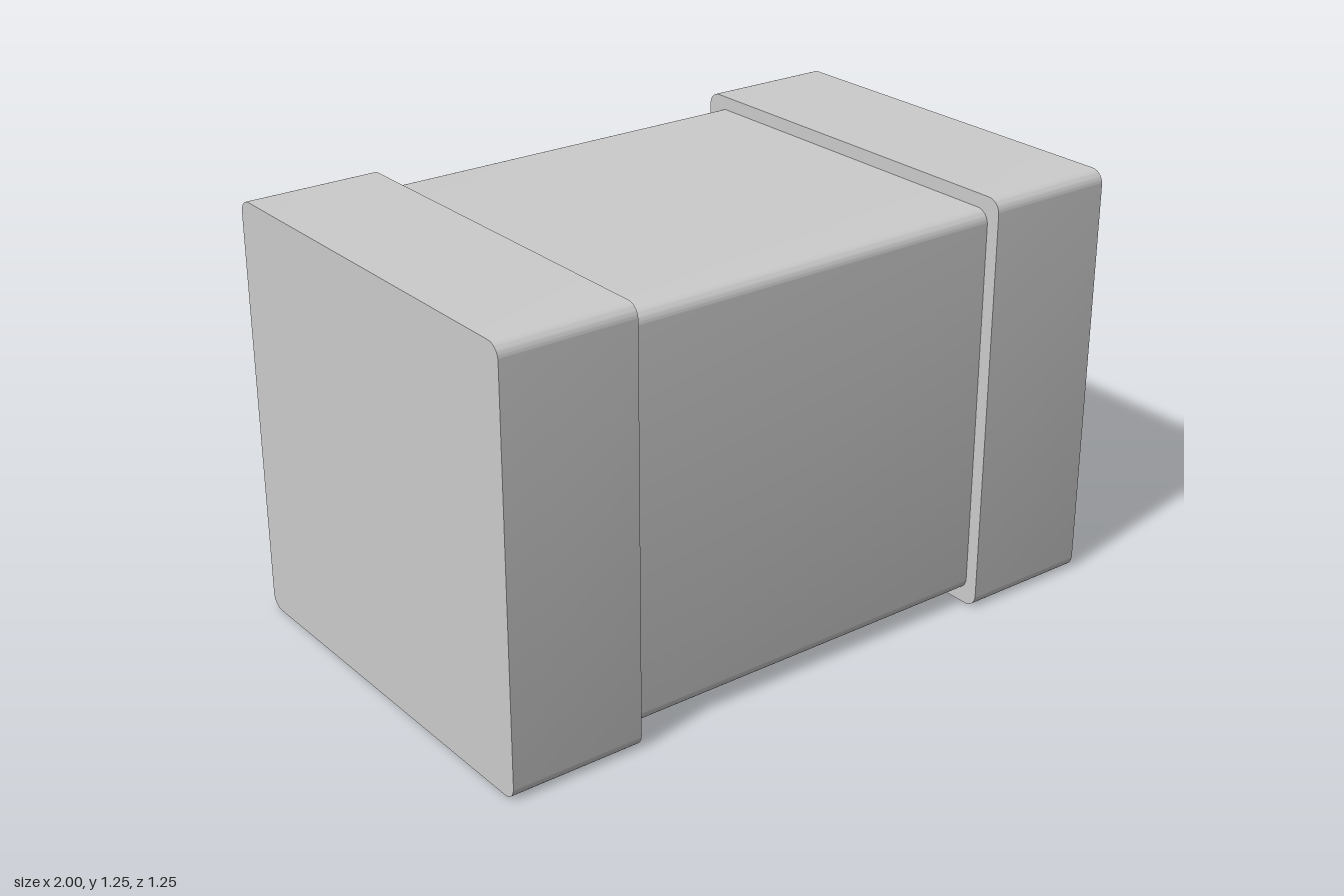
import * as THREE from 'three';
import { toCreasedNormals } from 'three/addons/utils/BufferGeometryUtils.js';

const CENTER_Y = 0.625;

// Square profile with rounded corners, centred on the origin
function roundedSquare(size, r) {
  const h = size / 2, c = h - r;
  const s = new THREE.Shape();
  s.absarc(c, c, r, 0, Math.PI / 2);
  s.absarc(-c, c, r, Math.PI / 2, Math.PI);
  s.absarc(-c, -c, r, Math.PI, Math.PI * 1.5);
  s.absarc(c, -c, r, Math.PI * 1.5, Math.PI * 2);
  s.closePath();
  return s;
}

// Bar along x with smooth long edges and sharp ends
function bar(name, size, radius, length, x, material) {
  const extruded = new THREE.ExtrudeGeometry(roundedSquare(size, radius), {
    depth: length, bevelEnabled: false, curveSegments: 8,
  });
  extruded.translate(0, 0, -length / 2).rotateY(Math.PI / 2);
  const mesh = new THREE.Mesh(toCreasedNormals(extruded, 0.6), material);
  mesh.name = name;
  mesh.position.set(x, CENTER_Y, 0);
  return mesh;
}

export function createModel() {
  const group = new THREE.Group();
  group.name = 'chipComponent';
  const material = new THREE.MeshStandardMaterial({ color: 0xcccccc });

  // Central body between the terminals
  group.add(bar('body', 1.17, 0.04, 1.2, 0, material));

  // Slightly larger terminal caps at both ends
  for (const side of [-1, 1]) {
    const name = side > 0 ? 'leftTerminal' : 'rightTerminal';
    group.add(bar(name, 1.25, 0.04, 0.4, side * 0.8, material));
  }
  return group;
}
